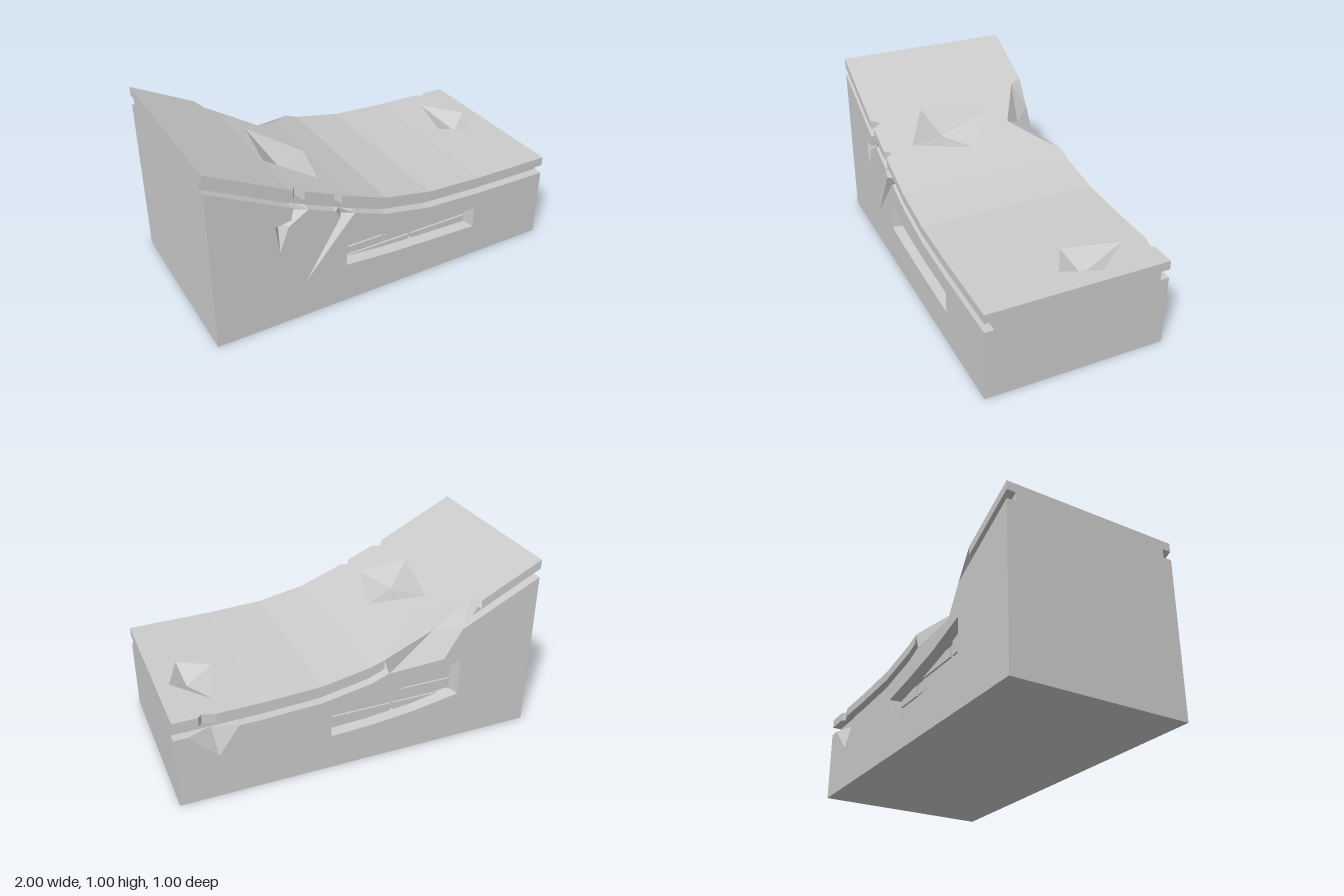
import * as THREE from 'three';

const material = new THREE.MeshStandardMaterial({ color: 0xcccccc, flatShading: true, side: THREE.DoubleSide });

// Sloping top profile (x, y) and the chipped front and back rims (x, z)
const profile = [[-1, 1], [-0.58, 0.79], [-0.24, 0.645], [-0.04, 0.57], [0.23, 0.52], [0.55, 0.505], [1, 0.5]];
const frontRim = [[-1, 0.5], [-0.56, 0.5], [-0.53, 0.45], [-0.5, 0.5], [-0.34, 0.5], [-0.32, 0.46], [-0.295, 0.5], [1, 0.5]];
const backRim = [[-1, -0.5], [-0.66, -0.5], [-0.63, -0.43], [-0.375, -0.28], [-0.11, -0.5],
  [0.78, -0.5], [0.85, -0.48], [0.87, -0.5], [1, -0.5]];
const LIP = 0.05, GROOVE = 0.1, INSET = 0.45;

function lerpLine(line, x) {
  for (let i = 1; i < line.length; i++) {
    const [ax, ay] = line[i - 1], [bx, by] = line[i];
    if (x <= bx) return ay + (by - ay) * (x - ax) / (bx - ax);
  }
  return line[line.length - 1][1];
}
const top = x => lerpLine(profile, x);

// Every x between a and b where one of the lines bends
function stations(a, b, ...lines) {
  const xs = lines.flat().map(p => p[0]).filter(x => x > a && x < b);
  return [...new Set([a, ...xs, b])].sort((p, q) => p - q);
}
// The top profile lowered by d, as points
const lowered = (a, b, d) => stations(a, b, profile).map(x => [x, top(x) - d]);

export function createModel() {
  const model = new THREE.Group();

  function add(name, geometry) {
    const mesh = new THREE.Mesh(geometry, material);
    mesh.name = name;
    model.add(mesh);
    return mesh;
  }
  function triangles(name, list) {
    const g = new THREE.BufferGeometry();
    g.setAttribute('position', new THREE.Float32BufferAttribute(list.flat(2), 3));
    g.computeVertexNormals();
    return add(name, g);
  }
  // Surface between two paths of equal length
  function ribbon(name, a, b) {
    const list = [];
    for (let i = 1; i < a.length; i++) list.push([a[i - 1], b[i - 1], b[i]], [a[i - 1], b[i], a[i]]);
    return triangles(name, list);
  }
  // Fan from a closed rim to one deep point
  const pit = (name, rim, apex) => triangles(name, rim.map((p, i) => [p, rim[(i + 1) % rim.length], apex]));
  // Flat polygon with holes, each corner placed by a rule
  function sheet(name, outline, holes, place) {
    const shape = new THREE.Shape(outline.map(p => new THREE.Vector2(...p)));
    shape.holes = holes.map(h => new THREE.Path(h.map(p => new THREE.Vector2(...p))));
    const g = new THREE.ShapeGeometry(shape);
    const pos = g.attributes.position;
    for (let i = 0; i < pos.count; i++) pos.setXYZ(i, ...place(pos.getX(i), pos.getY(i)));
    g.computeVertexNormals();
    return add(name, g);
  }

  // Chips knocked out of the top: rim (x, z) and deepest point
  const chips = [
    { rim: [[-0.49, -0.21], [-0.57, 0.19], [-0.34, 0.33], [-0.25, 0]], apex: [-0.44, 0.655, 0.11] },
    { rim: [[0.76, -0.37], [0.68, -0.06], [0.85, 0.04], [0.93, -0.16]], apex: [0.83, 0.43, -0.1] },
  ];
  for (const c of chips) pit('topChip', c.rim.map(([x, z]) => [x, top(x), z]), c.apex);

  // Top surface, one strip per straight run of the profile
  for (let i = 1; i < profile.length; i++) {
    const a = profile[i - 1][0], b = profile[i][0];
    const front = stations(a, b, frontRim).map(x => [x, lerpLine(frontRim, x)]);
    const back = stations(a, b, backRim).map(x => [x, lerpLine(backRim, x)]);
    const holes = chips.map(c => c.rim).filter(r => r.every(p => p[0] > a && p[0] < b));
    sheet('topSurface', [...back, ...front.reverse()], holes, (x, z) => [x, top(x), z]);
  }

  // Lip, groove wall and groove ledge along each long side
  const lip = (rim, side, a, b) => {
    const xs = stations(a, b, profile, rim);
    const edge = xs.map(x => [x, top(x) - LIP, lerpLine(rim, x)]);
    ribbon('lipFace', xs.map(x => [x, top(x), lerpLine(rim, x)]), edge);
    ribbon('lipUnderside', edge, xs.map(x => [x, top(x) - LIP, side * INSET]));
  };
  const grooveWall = (side, a, b) => ribbon('grooveWall',
    lowered(a, b, LIP).map(p => [...p, side * INSET]), lowered(a, b, GROOVE).map(p => [...p, side * INSET]));
  const ledge = (side, a, b) => ribbon('grooveLedge',
    lowered(a, b, GROOVE).map(p => [...p, side * INSET]), lowered(a, b, GROOVE).map(p => [...p, side * 0.5]));

  lip(frontRim, 1, -1, 1);
  lip(backRim, -1, -1, -0.66);
  lip(backRim, -1, -0.11, 1);
  grooveWall(1, -1, 1);
  grooveWall(-1, -1, -0.6);
  grooveWall(-1, -0.12, 1);
  for (const [a, b] of [[-1, -0.56], [-0.48, -0.33], [-0.22, 1]]) ledge(1, a, b);
  for (const [a, b] of [[-1, -0.56], [-0.14, 0.67], [0.93, 1]]) ledge(-1, a, b);

  // Front cracks: left bank, valley and right bank from mouth to tip
  const low = x => [x, top(x) - GROOVE];
  const cracks = [
    { left: [low(-0.56), [-0.575, 0.615], [-0.66, 0.6], [-0.64, 0.45]],
      valley: [low(-0.54), [-0.545, 0.635], [-0.625, 0.59], [-0.64, 0.45]],
      right: [low(-0.48), [-0.5, 0.635], [-0.59, 0.58], [-0.61, 0.48]] },
    { left: [low(-0.33), [-0.305, 0.54], [-0.5, 0.22]],
      valley: [low(-0.29), [-0.275, 0.53], [-0.5, 0.22]],
      right: [low(-0.22), [-0.24, 0.52], [-0.495, 0.22]] },
  ];
  for (const c of cracks) {
    const n = c.valley.length - 1;
    const valley = c.valley.map((p, i) => [...p, i < n ? INSET : 0.5]);
    for (const bank of [c.left, c.right]) ribbon('crackBank', bank.map(p => [...p, 0.5]), valley);
  }
  const mouth = c => [...c.left, ...[...c.right].reverse()];

  // Recessed window with tapered walls and uneven brick courses
  const frontPanel = [[-0.27, 0.23], [-0.02, 0.21], [0.23, 0.2], [0.54, 0.19], [0.54, 0.31], [0.23, 0.32], [-0.02, 0.34], [-0.26, 0.39]];
  const backPanel = [[-0.56, 0.28], [-0.3, 0.235], [-0.04, 0.21], [0.18, 0.2], [0.18, 0.33], [-0.04, 0.365], [-0.3, 0.415], [-0.56, 0.49]];
  function panel(rim, side, bricks) {
    const xs = rim.map(p => p[0]);
    const mid = (Math.min(...xs) + Math.max(...xs)) / 2;
    const half = (Math.max(...xs) - Math.min(...xs)) / 2;
    const inner = rim.map(([x, y], i) => [mid + (x - mid) * (1 - 0.025 / half), y + (i < 4 ? 0.008 : -0.006)]);
    const close = (loop, z) => [...loop, loop[0]].map(p => [...p, z]);
    ribbon('windowReveal', close(rim, side * 0.5), close(inner, side * 0.43));
    sheet('windowBack', inner, [], (x, y) => [x, y, side * 0.43]);
    for (const [x0, x1, y0, y1] of bricks) {
      const brick = add('brick', new THREE.BoxGeometry(x1 - x0, y1 - y0, 0.02));
      brick.position.set((x0 + x1) / 2, (y0 + y1) / 2, side * 0.431);
    }
  }
  panel(frontPanel, 1, [[-0.25, 0.15, 0.2, 0.238], [0.165, 0.52, 0.19, 0.238], [-0.25, -0.02, 0.25, 0.29],
    [-0.005, 0.36, 0.25, 0.29], [0.375, 0.52, 0.25, 0.29], [-0.25, 0.15, 0.302, 0.36], [0.165, 0.52, 0.302, 0.33]]);
  panel(backPanel, -1, [[-0.54, -0.2, 0.22, 0.275], [-0.185, 0.16, 0.2, 0.275], [-0.54, -0.04, 0.29, 0.35],
    [-0.025, 0.16, 0.29, 0.35], [-0.54, -0.4, 0.365, 0.47], [-0.385, -0.1, 0.365, 0.42]]);

  // Front wall
  sheet('frontWall', [[1, 0], [-1, 0], ...lowered(-1, -0.56, GROOVE).slice(0, -1), ...mouth(cracks[0]),
    ...lowered(-0.48, -0.33, GROOVE).slice(1, -1), ...mouth(cracks[1]), ...lowered(-0.22, 1, GROOVE).slice(1)],
  [frontPanel], (x, y) => [x, y, 0.5]);

  // Back wall, with the large break and a small chip cut into its upper edge
  sheet('backWall', [[1, 0], [-1, 0], ...lowered(-1, -0.56, GROOVE), [-0.46, 0.52],
    ...lowered(-0.14, 0.67, GROOVE), [0.78, 0.25], ...lowered(0.93, 1, GROOVE)],
  [backPanel], (x, y) => [x, y, -0.5]);
  const chipApex = [...low(0.8), -INSET], chipTip = [0.78, 0.25, -0.5];
  triangles('backChip', [0.67, 0.93].map(x => [[...low(x), -0.5], chipTip, chipApex]));

  // Large break in the back edge
  const T = [-0.66, -0.63, -0.375, -0.11].map(x => [x, top(x), lerpLine(backRim, x)]);
  const P = [[...low(-0.14), -0.5], [-0.46, 0.52, -0.5], [...low(-0.56), -0.5]];
  const deep = [-0.45, 0.64, -0.385];
  pit('backBreak', [T[1], T[2], T[3], ...P], deep);
  triangles('backBreakEnd', [[T[0], T[1], P[2]]]);

  // End walls with the groove notches, and the underside
  for (const x of [-1, 1]) {
    const h = top(x);
    const half = [[0.5, 0], [0.5, h - GROOVE], [INSET, h - GROOVE], [INSET, h - LIP], [0.5, h - LIP], [0.5, h]];
    sheet('endWall', [...half, ...half.map(([z, y]) => [-z, y]).reverse()], [], (z, y) => [x, y, z]);
  }
  sheet('underside', [[-1, -0.5], [1, -0.5], [1, 0.5], [-1, 0.5]], [], (x, z) => [x, 0, z]);
  return model;
}
